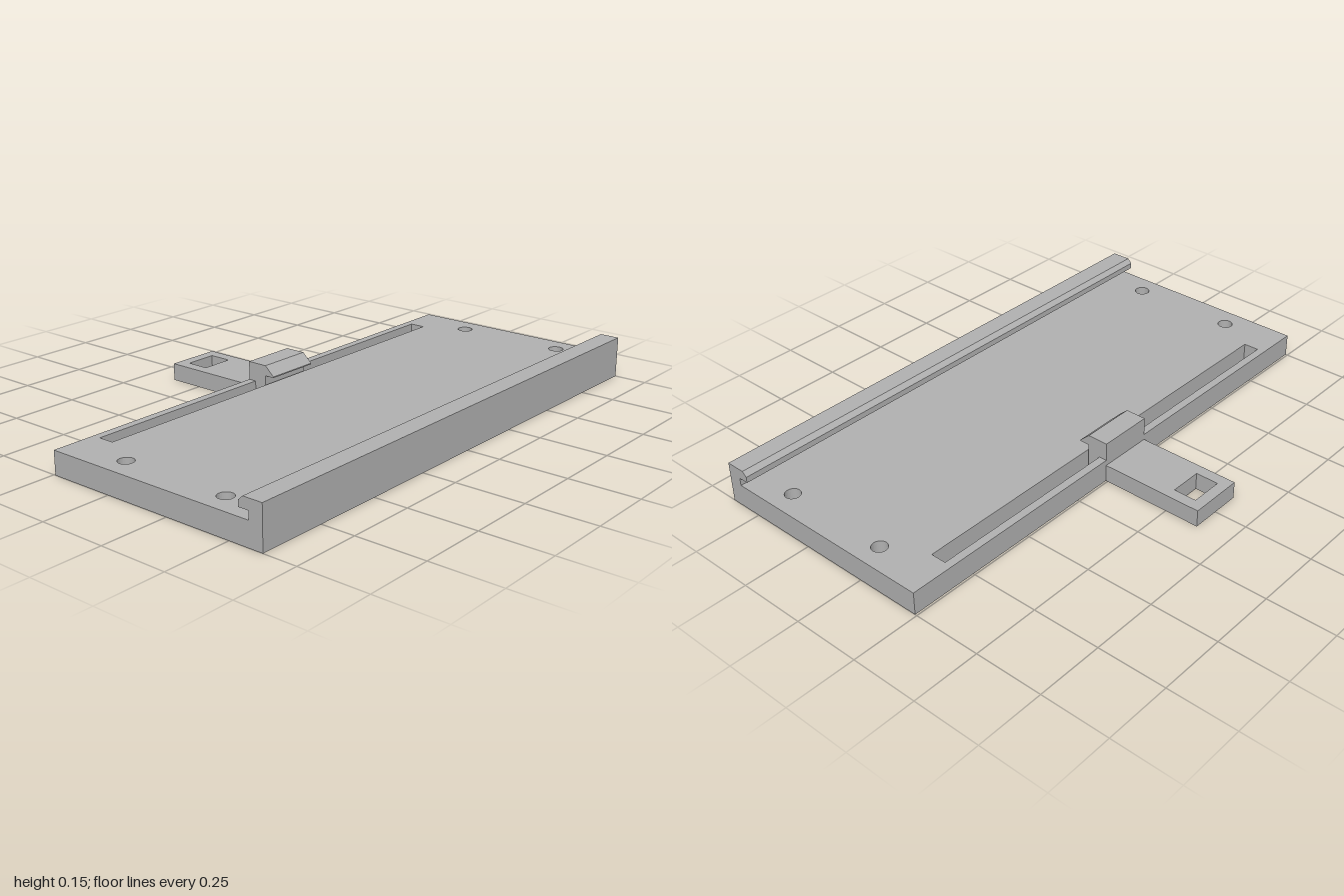
import * as THREE from 'three';

const BACK = -0.243, FRONT = 0.628, PLATE_H = 0.085, TOP = 0.152;

// Closed rectangle in plan, given as x and z limits
function rect(Type, x0, x1, z0, z1) {
  return new Type([[x0, z0], [x1, z0], [x1, z1], [x0, z1]].map(p => new THREE.Vector2(...p)));
}

// Slab standing on y = 0, drawn in plan (x, z)
function slab(shape, height) {
  const g = new THREE.ExtrudeGeometry(shape, { depth: height, bevelEnabled: false, curveSegments: 16 });
  return g.rotateX(Math.PI / 2).translate(0, height, 0);
}

// Bar centred on x = 0, drawn as a side profile of (z, y) points
function bar(points, width) {
  const shape = new THREE.Shape(points.map(p => new THREE.Vector2(...p)));
  const g = new THREE.ExtrudeGeometry(shape, { depth: width, bevelEnabled: false });
  return g.rotateY(-Math.PI / 2).translate(width / 2, 0, 0);
}

export function createModel() {
  const group = new THREE.Group();
  const grey = new THREE.MeshStandardMaterial({ color: 0xb0b0b0 });
  grey.name = 'grey plastic';
  const add = (name, geometry) => {
    const mesh = new THREE.Mesh(geometry, grey);
    mesh.name = name;
    group.add(mesh);
  };

  // Base plate with a long flex slot and four screw holes
  const plate = rect(THREE.Shape, -1, 1, BACK, FRONT);
  plate.holes.push(rect(THREE.Path, -0.838, 0.838, -0.213, -0.155));
  for (const x of [-0.917, 0.917]) {
    for (const z of [-0.005, 0.412]) {
      plate.holes.push(new THREE.Path().absarc(x, z, 0.028, 0, Math.PI * 2, true));
    }
  }
  add('basePlate', slab(plate, PLATE_H));

  // Full-width hooked lip along the front
  add('frontLip', bar([
    [FRONT, PLATE_H], [FRONT, TOP], [0.555, TOP], [0.538, 0.136],
    [0.538, 0.114], [0.576, 0.114], [0.576, PLATE_H],
  ], 2));

  // Latch hook, with its stem filling the slot
  add('latchHook', bar([
    [BACK, PLATE_H], [-0.213, PLATE_H], [-0.213, 0], [-0.165, 0], [-0.165, 0.114],
    [-0.128, 0.114], [-0.128, 0.118], [-0.165, TOP], [BACK, TOP],
  ], 0.206));

  // Release tab with a square window
  const tab = rect(THREE.Shape, -0.103, 0.103, -0.628, BACK);
  tab.holes.push(rect(THREE.Path, -0.061, 0.061, -0.588, -0.502));
  add('releaseTab', slab(tab, 0.064));

  return group;
}
